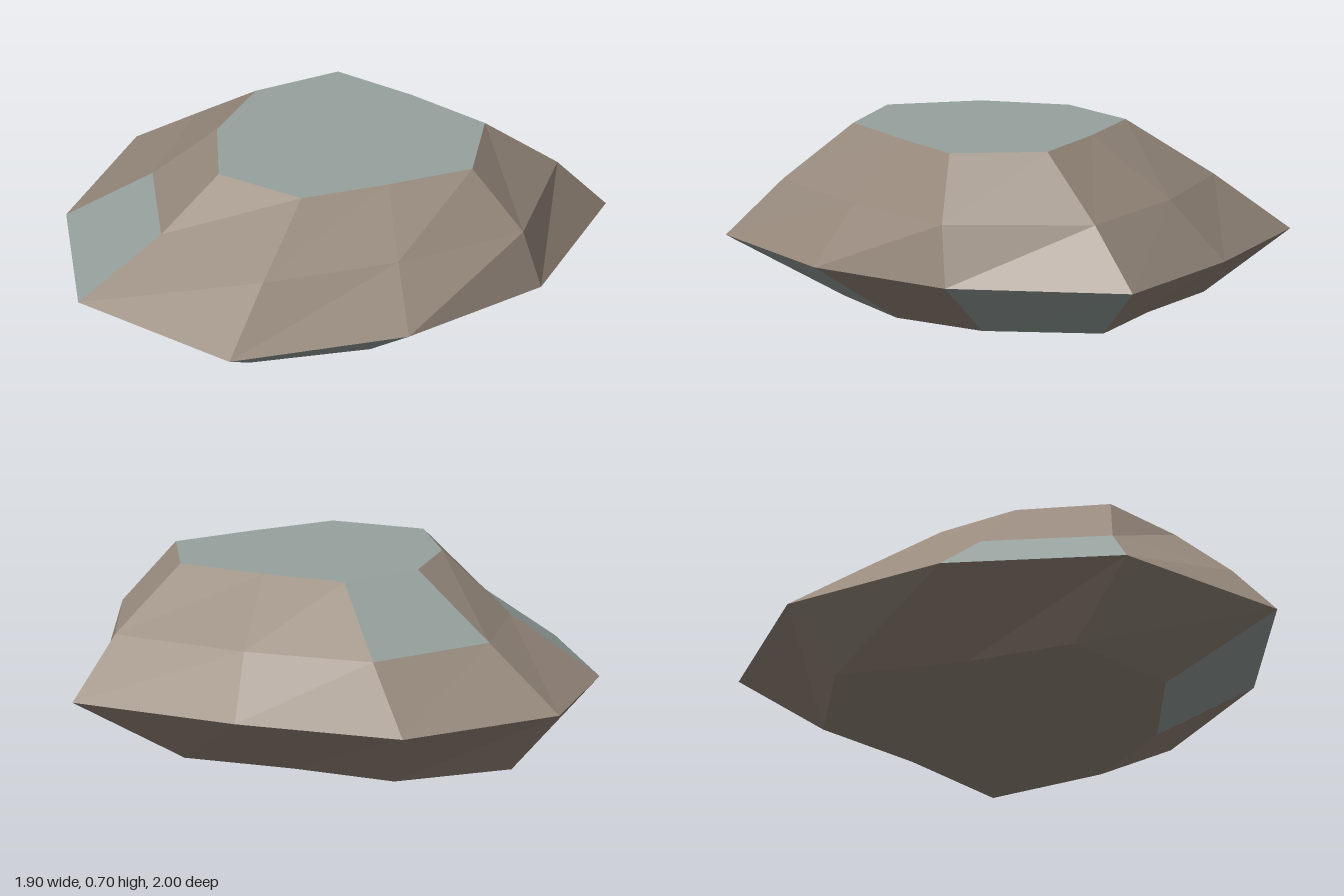
import * as THREE from 'three';

// Four nine-sided rings, base to crown, as [x, z] corners running from back-left, past the left side, to the front and round
const RINGS = [
  { y: 0, pts: [[-0.39, -0.7], [0.04, -0.61], [0.48, -0.565], [0.56, -0.115], [0.41, 0.265], [0.065, 0.57], [-0.42, 0.515], [-0.54, 0.1], [-0.745, -0.37]] },
  { y: 0.235, pts: [[-0.52, -1], [0.16, -0.945], [0.85, -0.79], [0.95, -0.085], [0.7, 0.5], [0.2, 0.995], [-0.525, 0.84], [-0.895, 0.24], [-0.955, -0.435]] },
  { y: 0.467, pts: [[-0.325, -0.76], [0.19, -0.74], [0.74, -0.61], [0.89, -0.055], [0.59, 0.38], [0.22, 0.765], [-0.3, 0.6], [-0.56, 0.18], [-0.64, -0.315]] },
  { y: 0.7, pts: [[-0.12, -0.475], [0.21, -0.44], [0.56, -0.37], [0.69, -0.025], [0.47, 0.235], [0.235, 0.485], [-0.13, 0.46], [-0.305, 0.145], [-0.32, -0.195]] },
];
const SIDES = 9;

// Facets of grey stone in each band, by side number
const GREY = [[2, 4], [6], [8]];

export function createModel() {
  const brown = new THREE.MeshStandardMaterial({ color: 0x988a7d, flatShading: true });
  brown.name = 'brownStone';
  const grey = new THREE.MeshStandardMaterial({ color: 0x96a19d, flatShading: true });
  grey.name = 'greyStone';

  const corner = (ring, i) => {
    const [x, z] = RINGS[ring].pts[i % SIDES];
    return [x, RINGS[ring].y, z];
  };

  const group = new THREE.Group();
  group.name = 'rock';
  const addMesh = (name, positions, material) => {
    const geometry = new THREE.BufferGeometry();
    geometry.setAttribute('position', new THREE.Float32BufferAttribute(positions, 3));
    geometry.computeVertexNormals();
    const mesh = new THREE.Mesh(geometry, material);
    mesh.name = name;
    group.add(mesh);
  };

  // Sloping bands, sorted into brown and grey facets
  ['underside', 'lowerSlope', 'upperSlope'].forEach((name, band) => {
    const brownFaces = [], greyFaces = [];
    for (let i = 0; i < SIDES; i++) {
      const a = corner(band, i + 1), b = corner(band, i);
      const c = corner(band + 1, i), d = corner(band + 1, i + 1);
      (GREY[band].includes(i) ? greyFaces : brownFaces).push(...a, ...b, ...c, ...a, ...c, ...d);
    }
    addMesh(name, brownFaces, brown);
    addMesh(name + 'GreyFacets', greyFaces, grey);
  });

  // Flat base and crown, fanned from one corner
  const base = [], crown = [];
  const start = 7;
  for (let i = 1; i < SIDES - 1; i++) {
    base.push(...corner(0, start), ...corner(0, start + i), ...corner(0, start + i + 1));
    crown.push(...corner(3, start), ...corner(3, start + i + 1), ...corner(3, start + i));
  }
  addMesh('base', base, brown);
  addMesh('crown', crown, grey);
  return group;
}
